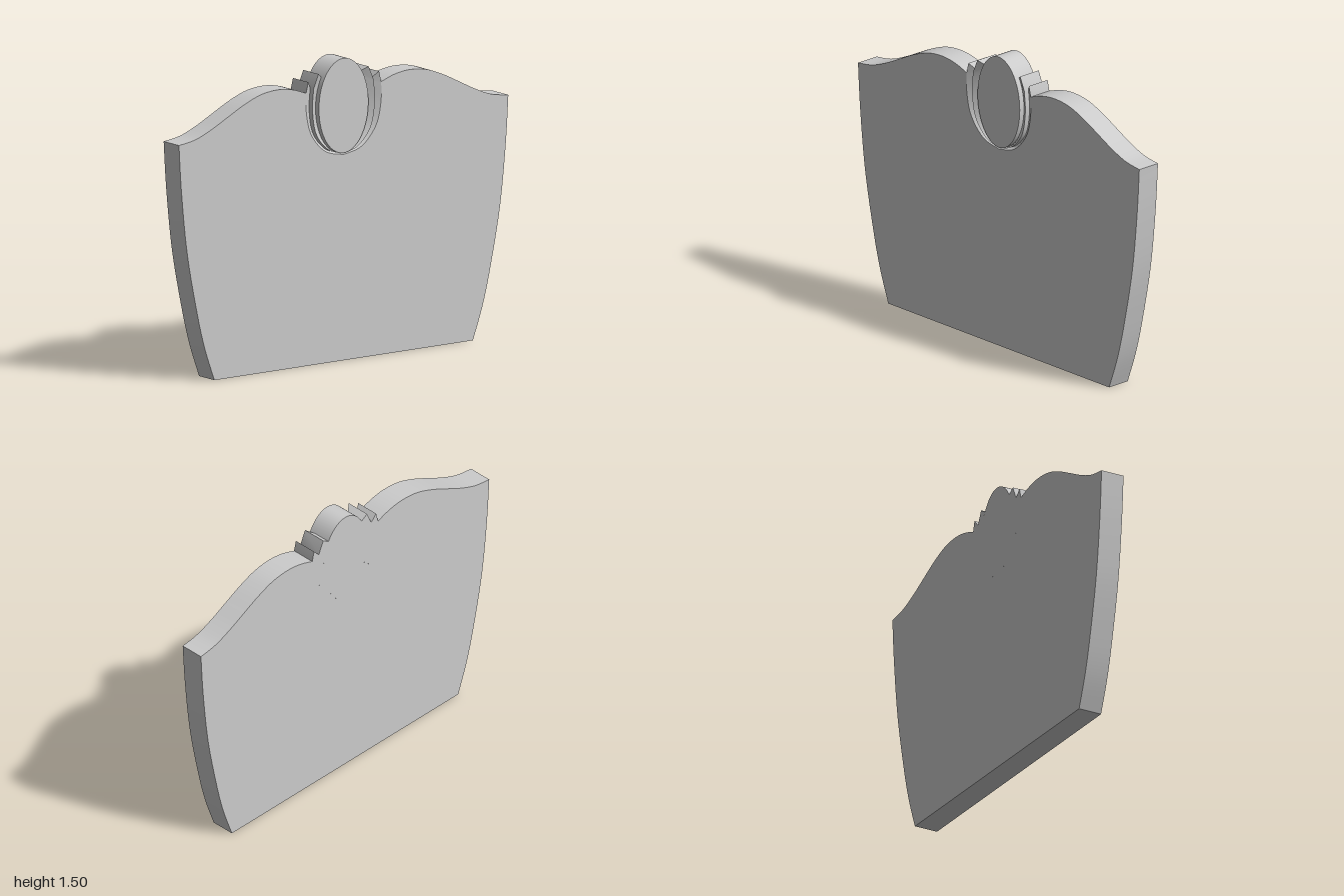
import * as THREE from 'three';
import { toCreasedNormals } from 'three/addons/utils/BufferGeometryUtils.js';

const HALF = 0.062;      // half the board thickness
const GROOVE = 0.034;    // front height of the petals at their inner, sunken edge
const STEPS = 24;
const material = new THREE.MeshStandardMaterial({ color: 0xcccccc });

const curve = (pts, n) =>
  new THREE.SplineCurve(pts.map(([x, y]) => new THREE.Vector2(x, y))).getPoints(n);

// Flat outline turned into a plate centred on z = 0
function plate(points, name) {
  const geo = new THREE.ExtrudeGeometry(new THREE.Shape(points), { depth: 2 * HALF, bevelEnabled: false });
  geo.translate(0, 0, -HALF);
  const mesh = new THREE.Mesh(toCreasedNormals(geo, 0.5), material);
  mesh.name = name;
  return mesh;
}

// Crescent whose front slopes from a sunken inner edge up to the outer edge
function petal(inner, outer, side, name) {
  const pos = [];
  const quad = (a, b, c, d) => {
    const order = side > 0 ? [a, b, c, a, c, d] : [a, c, b, a, d, c];
    for (const [p, z] of order) pos.push(side * p.x, p.y, z);
  };
  for (let i = 0; i < inner.length - 1; i++) {
    const a = inner[i], b = inner[i + 1], c = outer[i + 1], d = outer[i];
    quad([a, GROOVE], [b, GROOVE], [c, HALF], [d, HALF]);   // sloped front
    quad([d, -HALF], [c, -HALF], [b, -HALF], [a, -HALF]);   // flat back
    quad([d, HALF], [c, HALF], [c, -HALF], [d, -HALF]);     // outer wall
  }
  const a = inner[0], d = outer[0];
  quad([a, GROOVE], [d, HALF], [d, -HALF], [a, -HALF]);     // tip
  const geo = new THREE.BufferGeometry();
  geo.setAttribute('position', new THREE.Float32BufferAttribute(pos, 3));
  const mesh = new THREE.Mesh(toCreasedNormals(geo, 0.5), material);
  mesh.name = name;
  return mesh;
}

export function createModel() {
  const group = new THREE.Group();
  group.name = 'headboard';

  // Half profiles on the +x side
  const pocket = [[0.228, 1.355], [0.226, 1.25], [0.195, 1.14], [0.11, 1.05], [0, 1.022]];
  const petalEdge = [[0.182, 1.372], [0.189, 1.26], [0.165, 1.14], [0.09, 1.055], [0, 1.028]];
  const crest = [[0.228, 1.355], [0.31, 1.382], [0.4, 1.393], [0.5, 1.382], [0.6, 1.346],
    [0.7, 1.297], [0.8, 1.247], [0.9, 1.208], [1, 1.192]];
  const flank = [[1, 1.192], [0.984, 0.95], [0.95, 0.65], [0.893, 0.36], [0.845, 0.17], [0.785, 0]];

  // Board with the pocket for the ornament
  const half = [
    ...curve(pocket, STEPS).reverse(),
    ...curve(crest, 48).slice(1),
    ...curve(flank, 32).slice(1),
  ];
  const mirrored = half.slice(1).reverse().map((p) => new THREE.Vector2(-p.x, p.y));
  group.add(plate([...half.reverse(), ...mirrored.reverse()], 'board'));

  // Oval medallion
  const oval = new THREE.EllipseCurve(0, 1.265, 0.15, 0.235, 0, Math.PI * 2);
  group.add(plate(oval.getPoints(64).slice(0, -1), 'medallion'));

  // Two nested petals on each side
  const ovalEdge = new THREE.EllipseCurve(0, 1.265, 0.15, 0.235, 0.698, -Math.PI / 2, true);
  for (const side of [1, -1]) {
    const label = side > 0 ? 'left' : 'right';
    group.add(petal(ovalEdge.getPoints(STEPS + 1),
      [new THREE.Vector2(0.152, 1.44), ...curve(petalEdge, STEPS)], side, label + 'InnerPetal'));
    group.add(petal(curve(petalEdge, STEPS + 1),
      [new THREE.Vector2(0.215, 1.408), ...curve(pocket, STEPS)], side, label + 'OuterPetal'));
  }
  return group;
}
